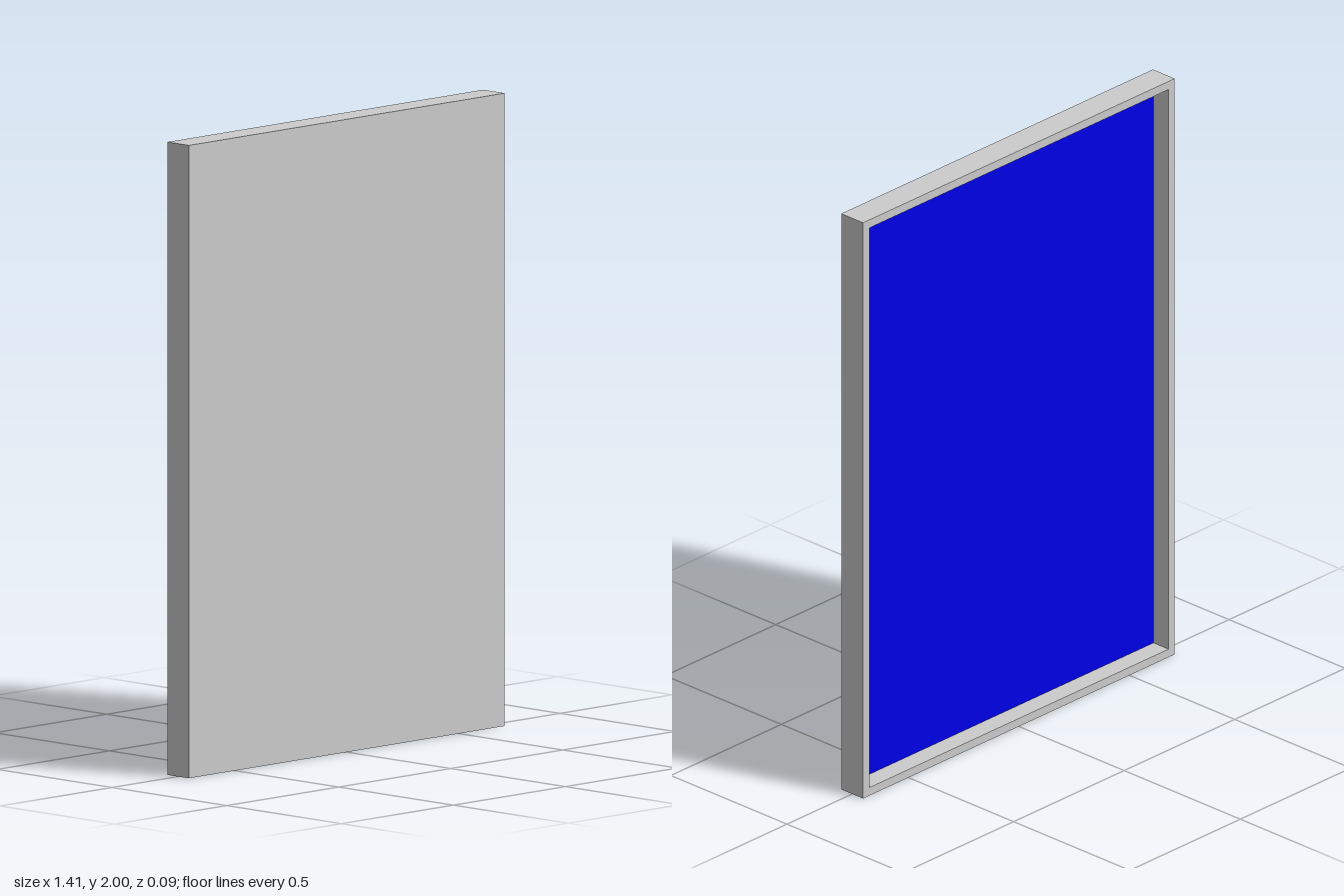
import * as THREE from 'three';

const W = 1.41, H = 2, D = 0.094; // outer size
const T = 0.028;                  // wall and front board thickness

function rectangle(Path, w, h) {
  const path = new Path();
  path.moveTo(-w / 2, -h / 2);
  path.lineTo(w / 2, -h / 2);
  path.lineTo(w / 2, h / 2);
  path.lineTo(-w / 2, h / 2);
  path.closePath();
  return path;
}

export function createModel() {
  const group = new THREE.Group();
  group.name = 'framedPanel';
  const grey = new THREE.MeshStandardMaterial({ color: 0xcccccc });
  const blue = new THREE.MeshStandardMaterial({ color: 0x0000e7 });

  function add(name, geometry, material, z) {
    const mesh = new THREE.Mesh(geometry, material);
    mesh.name = name;
    mesh.position.set(0, H / 2, z);
    group.add(mesh);
    return mesh;
  }

  // rim standing out behind the front board
  const outline = rectangle(THREE.Shape, W, H);
  outline.holes.push(rectangle(THREE.Path, W - 2 * T, H - 2 * T));
  const rim = new THREE.ExtrudeGeometry(outline, { depth: D - T, bevelEnabled: false });
  add('rim', rim, grey, -D / 2);

  // plain front board
  add('frontBoard', new THREE.BoxGeometry(W, H, T), grey, D / 2 - T / 2);

  // blue sheet lining the recess, facing the back
  const sheet = new THREE.PlaneGeometry(W - 2 * T, H - 2 * T);
  add('backSheet', sheet, blue, D / 2 - T - 0.001).rotation.y = Math.PI;

  return group;
}
